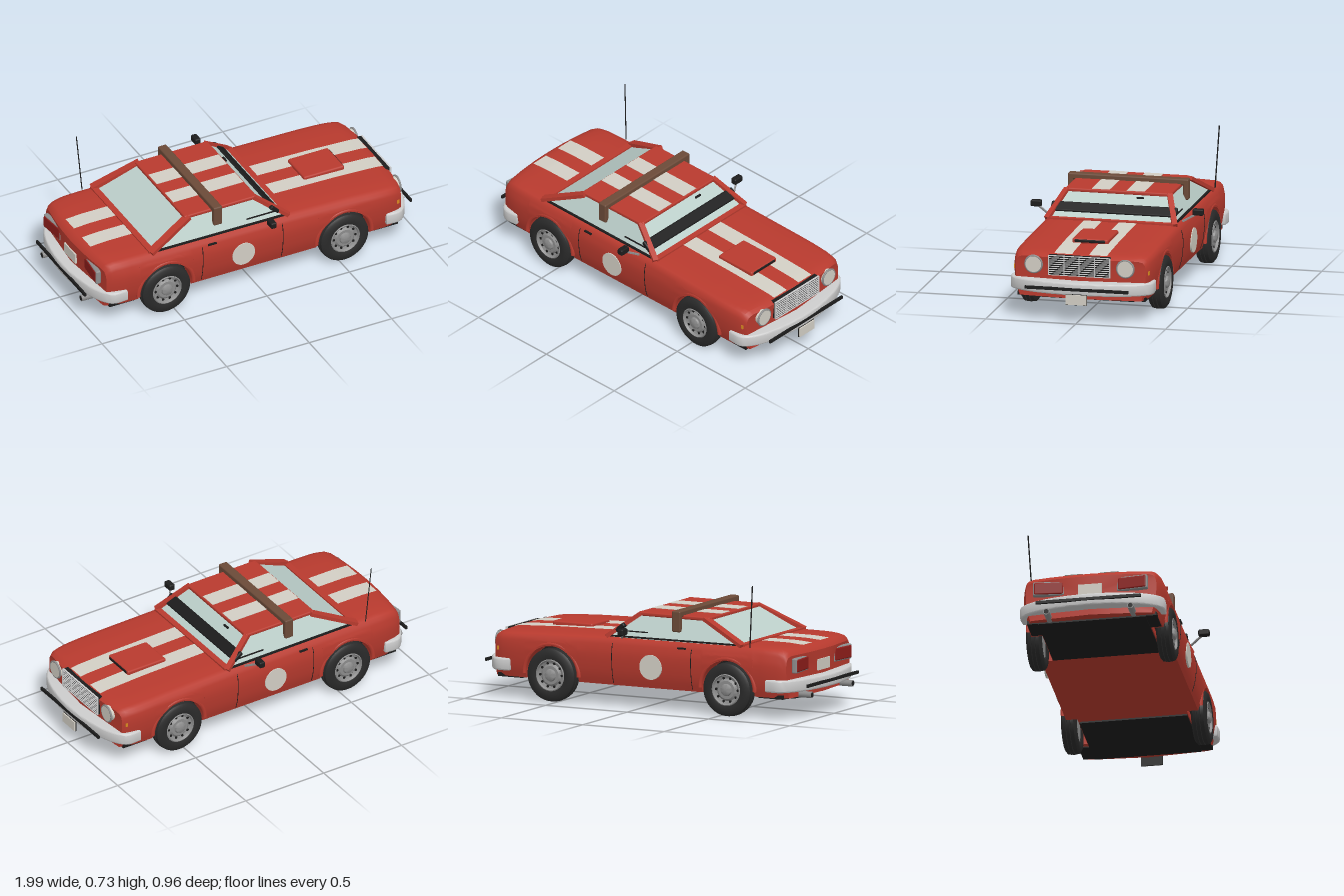
import * as THREE from 'three';
import { toCreasedNormals } from 'three/addons/utils/BufferGeometryUtils.js';
import { RoundedBoxGeometry } from 'three/addons/geometries/RoundedBoxGeometry.js';

const mat = (color) => new THREE.MeshStandardMaterial({ color, side: THREE.DoubleSide });
const RED = mat(0xb83a2e), BLACK = mat(0x1c1c1c), GLASS = mat(0xbccfca), CREAM = mat(0xd2cec4), CHROME = mat(0xcccccc);
const RUBBER = mat(0x2a2a2a), STEEL = mat(0x8c8c8c), WOOD = mat(0x6b4a38), LAMP = mat(0x8e1d1a), AMBER = mat(0xd98a20);

// Piecewise-linear lookup in a short profile of [key, value] pairs
function lookup(table, v) {
  if (v <= table[0][0]) return table[0][1];
  for (let i = 1; i < table.length; i++) {
    const [a, b] = [table[i - 1], table[i]];
    if (v <= b[0]) return a[1] + (b[1] - a[1]) * (v - a[0]) / (b[0] - a[0]);
  }
  return table[table.length - 1][1];
}
const FLOOR = 0.12, ARCH_R = 0.16, AXLE_Y = 0.148, AXLES = [-0.55, 0.53];
const TOP = [[-0.935, 0.35], [-0.92, 0.37], [-0.89, 0.384], [-0.8, 0.39], [-0.6, 0.39], [0.2, 0.383], [0.6, 0.374], [0.84, 0.363], [0.89, 0.356], [0.915, 0.34]];
const SIDE = [[0.12, 0.362], [0.17, 0.378], [0.22, 0.386], [0.28, 0.39], [0.33, 0.385], [0.36, 0.372]];
const PLAN = [[-0.935, 0.92], [-0.9, 0.955], [-0.82, 0.99], [-0.7, 1], [0.7, 1], [0.82, 0.99], [0.89, 0.96], [0.915, 0.93]];
const topY = (x) => lookup(TOP, x);
const sideZ = (x, y) => lookup(SIDE, y) * lookup(PLAN, x);

// Body: half cross-sections at each x, mirrored and lofted, with wheel wells
function bodyGeometry() {
  const columns = [-0.935, -0.92, -0.9, -0.87, -0.82, -0.76, -0.25, -0.1, 0.05, 0.2, 0.3, 0.74, 0.8, 0.85, 0.89, 0.915].map((x) => [x, FLOOR]);
  for (const cx of AXLES) {
    columns.push([cx - ARCH_R, FLOOR]);
    for (let i = 0; i <= 24; i++) {
      const a = Math.PI * (1 - i / 24);
      columns.push([cx + ARCH_R * Math.cos(a), AXLE_Y + ARCH_R * Math.sin(a)]);
    }
    columns.push([cx + ARCH_R, FLOOR]);
  }
  const order = columns.map((c, i) => [c, i]).sort((p, q) => Math.abs(p[0][0] - q[0][0]) > 1e-6 ? p[0][0] - q[0][0] : p[1] - q[1]);
  const rings = order.map(([[x, bot]]) => {
    const top = topY(x), shoulder = top - 0.04, w = sideZ(x, shoulder);
    const half = [[0, FLOOR], [0.3, FLOOR], [0.3, bot]];
    for (let i = 0; i <= 8; i++) {
      const y = bot + (shoulder - bot) * i / 8;
      half.push([sideZ(x, y), y]);
    }
    half.push([w * 0.985, top - 0.022], [w * 0.95, top - 0.008], [w * 0.88, top - 0.001], [w * 0.6, top], [w * 0.3, top], [0, top]);
    const ring = [...half, ...half.slice(1, -1).reverse().map(([z, y]) => [-z, y])];
    // bow the nose and tail in plan
    const bow = Math.max(0, (Math.abs(x) - 0.74) / 0.18) * 0.25 * Math.sign(x);
    return ring.map(([z, y]) => [x - bow * z * z, y, z]);
  });
  const pos = [], n = rings[0].length;
  for (let i = 0; i < rings.length - 1; i++) for (let j = 0; j < n; j++) {
    const k = (j + 1) % n, [a, b, c, d] = [rings[i][j], rings[i][k], rings[i + 1][j], rings[i + 1][k]];
    pos.push(...a, ...c, ...b, ...b, ...c, ...d);
  }
  const [first, last] = [rings[0], rings[rings.length - 1]];
  for (let j = 0; j < n; j++) {
    const k = (j + 1) % n;
    pos.push(-0.935, 0.25, 0, ...first[j], ...first[k], 0.915, 0.25, 0, ...last[k], ...last[j]);
  }
  const g = new THREE.BufferGeometry();
  g.setAttribute('position', new THREE.Float32BufferAttribute(pos, 3));
  return toCreasedNormals(g, 0.6);
}

export function createModel() {
  const car = new THREE.Group();
  car.name = 'car';
  const add = (name, geo, material, x = 0, y = 0, z = 0) => {
    const m = new THREE.Mesh(geo, material);
    m.name = name;
    m.position.set(x, y, z);
    car.add(m);
    return m;
  };
  const box = (name, material, w, h, d, x, y, z) => add(name, new THREE.BoxGeometry(w, h, d), material, x, y, z);
  const rbox = (name, material, w, h, d, x, y, z, r = 0.008) => add(name, new RoundedBoxGeometry(w, h, d, 2, r), material, x, y, z);
  const beam = (name, material, a, b, w, h) => {
    const [p, q] = [new THREE.Vector3(...a), new THREE.Vector3(...b)];
    const m = add(name, new THREE.BoxGeometry(w, h, p.distanceTo(q)), material);
    m.position.copy(p).add(q).multiplyScalar(0.5);
    m.lookAt(q);
    return m;
  };
  const disc = (name, material, r, depth, x, y, z, alongX) => {
    const g = new THREE.CylinderGeometry(r, r, depth, 32);
    return add(name, alongX ? g.rotateZ(Math.PI / 2) : g.rotateX(Math.PI / 2), material, x, y, z);
  };

  add('body', bodyGeometry(), RED);
  box('frontUnderpanel', BLACK, 0.47, 0.022, 0.59, 0.64, 0.122, 0);
  box('rearUnderpanel', BLACK, 0.47, 0.022, 0.59, -0.645, 0.122, 0);
  box('frontValance', BLACK, 0.15, 0.022, 0.71, 0.795, 0.125, 0);
  box('rearValance', BLACK, 0.15, 0.022, 0.71, -0.805, 0.125, 0);

  // Cabin: tapered glass block, roof and pillars
  const glass = new THREE.BoxGeometry(1, 1, 1), p = glass.attributes.position;
  for (let i = 0; i < p.count; i++) {
    const up = p.getY(i) > 0, front = p.getX(i) > 0;
    p.setXYZ(i, up ? (front ? 0.03 : -0.38) : (front ? 0.2 : -0.62), up ? 0.51 : 0.38, Math.sign(p.getZ(i)) * (up ? 0.28 : 0.35));
  }
  glass.computeVertexNormals();
  add('windows', glass, GLASS);
  rbox('roof', RED, 0.44, 0.022, 0.59, -0.175, 0.508, 0);
  box('windscreenBase', RED, 0.035, 0.012, 0.7, 0.2, 0.386, 0);
  box('rearWindowBase', RED, 0.035, 0.012, 0.7, -0.62, 0.391, 0);
  const sunStrip = rbox('windscreenBar', BLACK, 0.025, 0.065, 0.7, 0.128, 0.432, 0);
  sunStrip.rotation.z = 0.9;
  box('rearViewMirror', BLACK, 0.01, 0.008, 0.04, 0.066, 0.49, -0.13);

  // Racing stripes following the bonnet, roof and boot
  for (const s of [-1, 1]) {
    for (const [name, x0, x1] of [['bonnetStripe', 0.215, 0.885], ['bootStripe', -0.89, -0.635]]) {
      const g = new THREE.PlaneGeometry(x1 - x0, 0.1, 16, 1).rotateX(-Math.PI / 2).translate((x0 + x1) / 2, 0, s * 0.097);
      const q = g.attributes.position;
      for (let i = 0; i < q.count; i++) q.setY(i, topY(q.getX(i)) + 0.003);
      g.computeVertexNormals();
      add(name, g, CREAM);
    }
    box('roofStripe', CREAM, 0.425, 0.004, 0.1, -0.175, 0.519, s * 0.097);
  }

  // Bonnet scoop
  rbox('bonnetScoop', RED, 0.245, 0.03, 0.2, 0.553, 0.382, 0, 0.01);
  rbox('scoopMouth', BLACK, 0.01, 0.016, 0.17, 0.673, 0.384, 0, 0.004);

  // Timber roof hoop
  rbox('roofHoop', WOOD, 0.052, 0.034, 0.67, -0.21, 0.528, 0);

  // Bumpers: a bowed plan outline, with rubber strip and underpanel plate
  for (const end of [-1, 1]) {
    const outer = [[0.79, 0.385], [0.87, 0.38], [0.93, 0.29], [0.965, 0.15], [0.976, 0]];
    const pts = [...outer, ...outer.slice(0, -1).reverse().map(([x, z]) => [x, -z])];
    const curve = new THREE.SplineCurve(pts.map(([x, z]) => new THREE.Vector2(end * x, z)));
    const shape = new THREE.Shape(curve.getPoints(40));
    const g = new THREE.ExtrudeGeometry(shape, { depth: 0.05, bevelSize: 0.009, bevelThickness: 0.009, bevelSegments: 3 });
    add(end > 0 ? 'frontBumper' : 'rearBumper', toCreasedNormals(g.rotateX(Math.PI / 2), 0.6), CHROME, end > 0 ? 0 : -0.008, 0.212, 0);
    box('bumperStrip', BLACK, 0.012, 0.016, 0.575, end > 0 ? 0.983 : -0.992, 0.187, 0);
  }
  box('frontPlate', CREAM, 0.008, 0.055, 0.115, 0.99, 0.132, 0);
  box('frontPlateBacking', BLACK, 0.006, 0.06, 0.12, 0.984, 0.132, 0);
  box('rearPlate', CREAM, 0.012, 0.06, 0.13, -0.935, 0.27, 0);

  // Grille
  box('grilleBack', BLACK, 0.03, 0.11, 0.34, 0.902, 0.3, 0);
  for (let i = 0; i <= 9; i++) box('grilleSlat', CHROME, 0.01, 0.004, 0.342, 0.917, 0.247 + i * 0.0118, 0);
  for (let i = -2; i <= 2; i++) box('grilleDivider', CHROME, 0.012, 0.11, 0.005, 0.917, 0.3, i * 0.085);

  // Aerial
  beam('aerial', BLACK, [-0.68, 0.385, -0.362], [-0.705, 0.727, -0.38], 0.005, 0.005);

  for (const s of [-1, 1]) {
    // Pillars, gutter and belt trim
    beam('windscreenPillar', RED, [0.205, 0.382, s * 0.355], [0.03, 0.51, s * 0.285], 0.03, 0.022);
    beam('rearPillar', RED, [-0.63, 0.388, s * 0.35], [-0.37, 0.51, s * 0.29], 0.045, 0.02);
    beam('beltTrim', BLACK, [-0.6, 0.391, s * 0.352], [0.19, 0.386, s * 0.352], 0.012, 0.008);
    rbox('hoopLeg', WOOD, 0.052, 0.11, 0.03, -0.21, 0.485, s * 0.32);

    // Door seams, handle and round number panel
    for (const x of [-0.33, 0.155]) {
      const path = [0.13, 0.17, 0.22, 0.28, 0.33, 0.35].map((y) => new THREE.Vector3(x, y, s * sideZ(x, y)));
      add('doorSeam', new THREE.TubeGeometry(new THREE.CatmullRomCurve3(path), 12, 0.002, 5), BLACK);
    }
    box('doorHandle', BLACK, 0.05, 0.009, 0.012, -0.27, 0.352, s * 0.378);
    disc('numberPanel', CREAM, 0.068, 0.01, -0.085, 0.237, s * 0.388);

    // Door mirrors
    beam('mirrorStalk', STEEL, [0.1, 0.382, s * 0.372], [0.062, 0.415, s * 0.435], 0.009, 0.009);
    rbox('doorMirror', BLACK, 0.035, 0.036, 0.06, 0.055, 0.428, s * 0.45);
    beam('wiper', BLACK, [-0.04, 0.416, s * 0.337], [0.13, 0.416, s * 0.337], 0.006, 0.006);

    // Lights and exhausts
    disc('headlight', CREAM, 0.044, 0.05, 0.893, 0.3, s * 0.255, true);
    add('headlightRing', new THREE.TorusGeometry(0.046, 0.006, 8, 32).rotateY(Math.PI / 2), STEEL, 0.913, 0.3, s * 0.255);
    box('sideMarker', AMBER, 0.014, 0.022, 0.008, 0.86, 0.272, s * 0.372);
    const tail = new THREE.Group();
    tail.name = 'tailLight';
    const frame = rbox('tailLightFrame', STEEL, 0.03, 0.082, 0.17, 0, 0, 0);
    const lens = rbox('tailLightLens', LAMP, 0.03, 0.07, 0.158, -0.004, 0, 0);
    tail.add(frame, lens);
    tail.position.set(-0.917, 0.295, s * 0.23);
    tail.rotation.y = -s * 0.1;
    car.add(tail);
    add('exhaust', new THREE.CylinderGeometry(0.018, 0.018, 0.16, 16).rotateZ(Math.PI / 2), STEEL, -0.91, 0.132, s * 0.23);
    disc('exhaustBore', BLACK, 0.013, 0.004, -0.99, 0.132, s * 0.23, true);

    // Wheels, arch lips and dark inner wells
    for (const cx of AXLES) {
      add('archLip', new THREE.TorusGeometry(0.168, 0.012, 8, 32, Math.PI), RED, cx, AXLE_Y, s * 0.378);
      add('wheelWell', new THREE.CircleGeometry(0.158, 32, 0, Math.PI), BLACK, cx, AXLE_Y, s * 0.303);
      const wheel = new THREE.Group();
      wheel.name = 'wheel';
      const lathe = (name, profile, material) => {
        const g = new THREE.LatheGeometry(profile.map(([r, h]) => new THREE.Vector2(r, h)), 40);
        wheel.add(add(name, toCreasedNormals(g.rotateX(Math.PI / 2), 0.6), material));
      };
      lathe('tyre', [[0.08, -0.038], [0.1, -0.043], [0.13, -0.04], [0.143, -0.03], [0.146, -0.014], [0.139, -0.012], [0.139, -0.009],
        [0.147, -0.007], [0.147, 0.007], [0.139, 0.009], [0.139, 0.012], [0.146, 0.014], [0.143, 0.03], [0.13, 0.04], [0.1, 0.043], [0.08, 0.036]], RUBBER);
      lathe('rim', [[0, -0.03], [0.085, -0.03], [0.088, 0.038], [0.082, 0.042], [0.076, 0.03], [0.062, 0.024], [0.05, 0.034], [0.034, 0.034], [0.03, 0.044], [0.018, 0.05], [0, 0.051]], STEEL);
      for (let i = 0; i < 10; i++) {
        const a = i * Math.PI / 5;
        wheel.add(disc('rimHole', BLACK, 0.007, 0.006, 0.066 * Math.cos(a), 0.066 * Math.sin(a), 0.026));
      }
      wheel.position.set(cx, AXLE_Y, s * 0.356);
      if (s < 0) wheel.rotation.y = Math.PI;
      car.add(wheel);
    }
  }
  return car;
}
